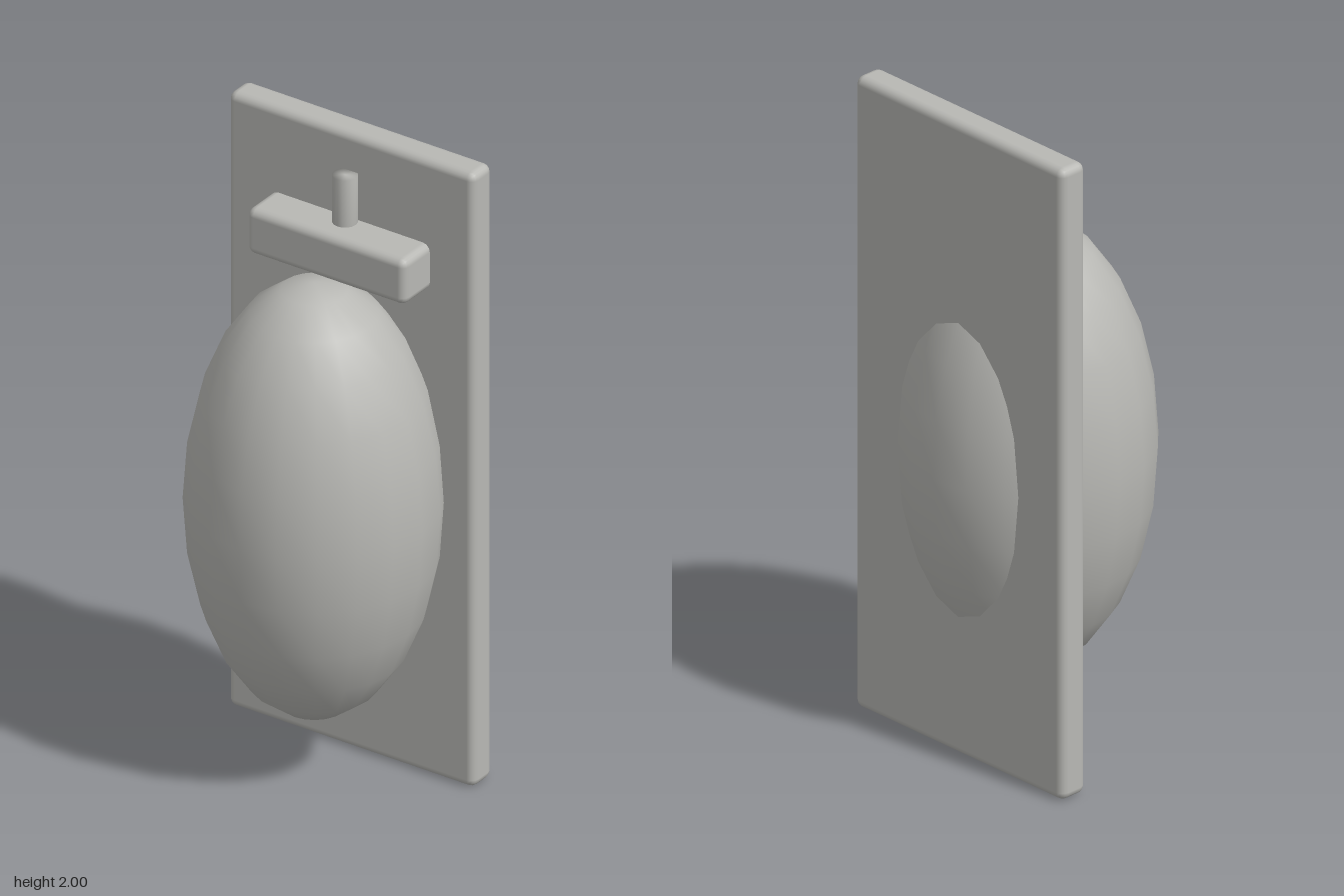
import * as THREE from 'three';
import { RoundedBoxGeometry } from 'three/addons/geometries/RoundedBoxGeometry.js';
import { mergeVertices } from 'three/addons/utils/BufferGeometryUtils.js';

export function createModel() {
  const group = new THREE.Group();
  const grey = new THREE.MeshStandardMaterial({ color: 0xb8b8b4 });
  grey.name = 'warmGrey';

  const add = (name, geometry, x, y, z) => {
    const mesh = new THREE.Mesh(geometry, grey);
    mesh.name = name;
    mesh.position.set(x, y, z);
    group.add(mesh);
  };

  // upright board with softened edges
  add('backPlate', new RoundedBoxGeometry(0.85, 2, 0.096, 2, 0.025), 0, 1, -0.227);

  // egg-shaped body passing through the board
  const body = new THREE.SphereGeometry(1, 20, 12);
  body.scale(0.373, 0.698, 0.373);
  add('body', body, 0, 0.903, 0);

  // block above the body, its back sunk into the board
  add('bracket', new RoundedBoxGeometry(0.548, 0.148, 0.197, 2, 0.025), 0, 1.654, -0.152);

  // small post, shaded smoothly across its rim
  let post = new THREE.CylinderGeometry(0.037, 0.037, 0.22, 16);
  post.deleteAttribute('normal');
  post.deleteAttribute('uv');
  post = mergeVertices(post);
  post.computeVertexNormals();
  add('post', post, 0, 1.77, -0.152);

  return group;
}
